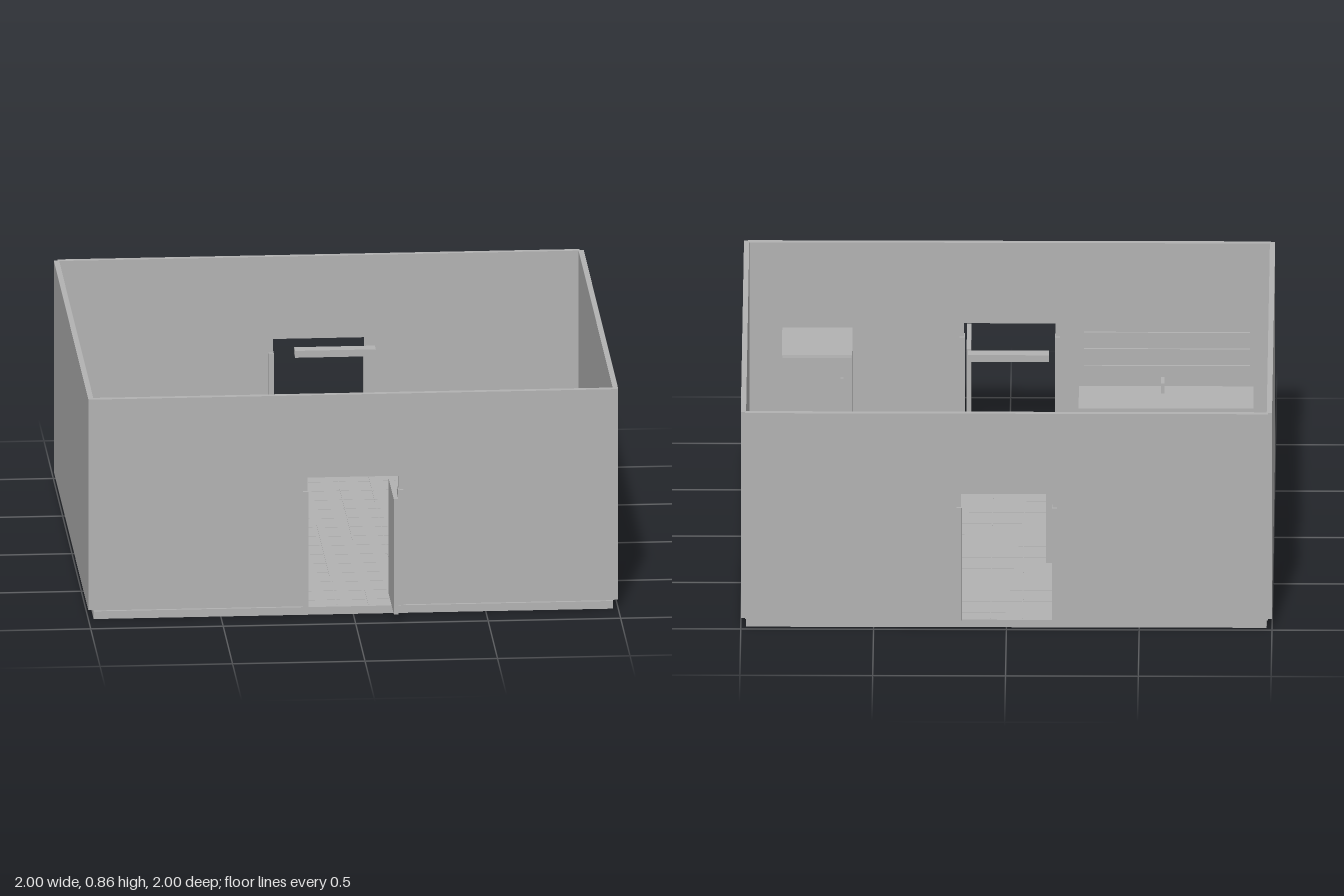
import * as THREE from 'three';

const grey = new THREE.MeshStandardMaterial({ color: 0xb2b2b2 });
grey.name = 'plain grey';

// Adds a box given by its min and max on each axis.
function box(parent, name, x0, x1, y0, y1, z0, z1) {
  const mesh = new THREE.Mesh(new THREE.BoxGeometry(x1 - x0, y1 - y0, z1 - z0), grey);
  mesh.position.set((x0 + x1) / 2, (y0 + y1) / 2, (z0 + z1) / 2);
  mesh.name = name;
  parent.add(mesh);
  return mesh;
}

function group(parent, name) {
  const g = new THREE.Group();
  g.name = name;
  parent.add(g);
  return g;
}

// Wall along x with a doorway, plus jambs standing proud of both faces.
function doorWall(parent, name, z0, z1) {
  const g = group(parent, name);
  const s = new THREE.Shape();
  [[-0.985, 0.035], [-0.173, 0.035], [-0.173, 0.54], [0.171, 0.54], [0.171, 0.035],
    [0.985, 0.035], [0.985, 0.863], [-0.985, 0.863]]
    .forEach(([x, y], i) => (i ? s.lineTo(x, y) : s.moveTo(x, y)));
  const wall = new THREE.Mesh(
    new THREE.ExtrudeGeometry(s, { depth: z1 - z0, bevelEnabled: false }), grey);
  wall.position.z = z0;
  wall.name = 'wall';
  g.add(wall);
  box(g, 'jamb', -0.19, -0.171, 0.035, 0.487, z0 - 0.011, z1 + 0.011);
  box(g, 'jamb', 0.168, 0.188, 0.035, 0.487, z0 - 0.011, z1 + 0.011);
}

function chair(parent, x, z, facing) {
  const g = group(parent, 'chair');
  box(g, 'seat', -0.06, 0.06, 0.15, 0.17, -0.055, 0.055);
  box(g, 'backrest', -0.06, 0.06, 0.17, 0.29, -0.057, -0.042);
  for (const sx of [-1, 1]) for (const sz of [-1, 1]) {
    const cx = sx * 0.051, cz = sz * 0.046;
    box(g, 'leg', cx - 0.008, cx + 0.008, 0.03, 0.15, cz - 0.008, cz + 0.008);
  }
  g.position.set(x, 0, z);
  g.rotation.y = facing;
}

export function createModel() {
  const room = new THREE.Group();
  room.name = 'kitchen';

  // Floor with raised tile lines
  box(room, 'floor', -0.98, 0.98, 0, 0.03, -0.975, 0.871);
  const lines = group(room, 'tileLines');
  for (let x = -0.9; x < 0.95; x += 0.12)
    box(lines, 'tileLine', x - 0.002, x + 0.002, 0.03, 0.031, -0.96, 0.85);
  for (let z = -0.9; z < 0.85; z += 0.12)
    box(lines, 'tileLine', -0.975, 0.975, 0.03, 0.031, z - 0.002, z + 0.002);

  // Walls
  doorWall(room, 'frontWall', 0.853, 0.876);
  doorWall(room, 'backWall', -0.989, -0.967);
  box(room, 'rightWall', -1, -0.98, 0.035, 0.863, -0.976, 0.871);
  box(room, 'leftWall', 0.98, 1, 0.035, 0.863, -0.976, 0.871);

  // Open door in the front doorway
  box(room, 'door', 0.144, 0.161, 0.033, 0.485, 0.725, 1);

  // Table with end panels and four place settings
  const table = group(room, 'table');
  box(table, 'tableTop', -0.67, -0.135, 0.345, 0.363, -0.37, -0.065);
  box(table, 'endPanel', -0.66, -0.625, 0.03, 0.345, -0.36, -0.075);
  box(table, 'endPanel', -0.18, -0.145, 0.03, 0.345, -0.36, -0.075);
  const plateProfile = [[0, 0], [0.022, 0], [0.035, 0.006], [0.033, 0.008], [0.02, 0.003], [0, 0.003]]
    .map(([r, y]) => new THREE.Vector2(r, y));
  for (const x of [-0.545, -0.262]) for (const z of [-0.3, -0.125]) {
    const plate = new THREE.Mesh(new THREE.LatheGeometry(plateProfile, 24), grey);
    plate.position.set(x, 0.363, z);
    plate.name = 'plate';
    table.add(plate);
  }

  // Chairs facing the table
  for (const x of [-0.54, -0.26]) {
    chair(room, x, -0.452, 0);
    chair(room, x, 0.013, Math.PI);
  }

  // Counter and tap
  box(room, 'counter', -0.92, -0.262, 0.03, 0.33, 0.502, 0.743);
  box(room, 'tapStem', -0.584, -0.572, 0.33, 0.39, 0.664, 0.676);
  box(room, 'tapSpout', -0.584, -0.572, 0.38, 0.392, 0.607, 0.676);

  // Rails on the wall behind the counter
  for (const y of [0.37, 0.437, 0.503])
    box(room, 'wallRail', -0.905, -0.28, y - 0.004, y + 0.004, 0.843, 0.854);

  // Fridge facing the back
  const fridge = group(room, 'fridge');
  box(fridge, 'cabinet', 0.59, 0.855, 0.03, 0.555, 0.462, 0.763);
  for (const [y0, y1, h] of [[0.04, 0.295, 0.18], [0.305, 0.55, 0.44]]) {
    box(fridge, 'fridgeDoor', 0.592, 0.853, y0, y1, 0.452, 0.462);
    box(fridge, 'handle', 0.622, 0.634, h - 0.03, h + 0.03, 0.441, 0.452);
  }

  // Hanging lamp and two low boxes
  box(room, 'lamp', -0.155, 0.15, 0.738, 0.765, -0.095, -0.045);
  box(room, 'bin', 0.23, 0.323, 0.03, 0.13, -0.067, 0.019);
  box(room, 'smallBin', 0.235, 0.315, 0.03, 0.13, 0.32, 0.393);

  return room;
}
